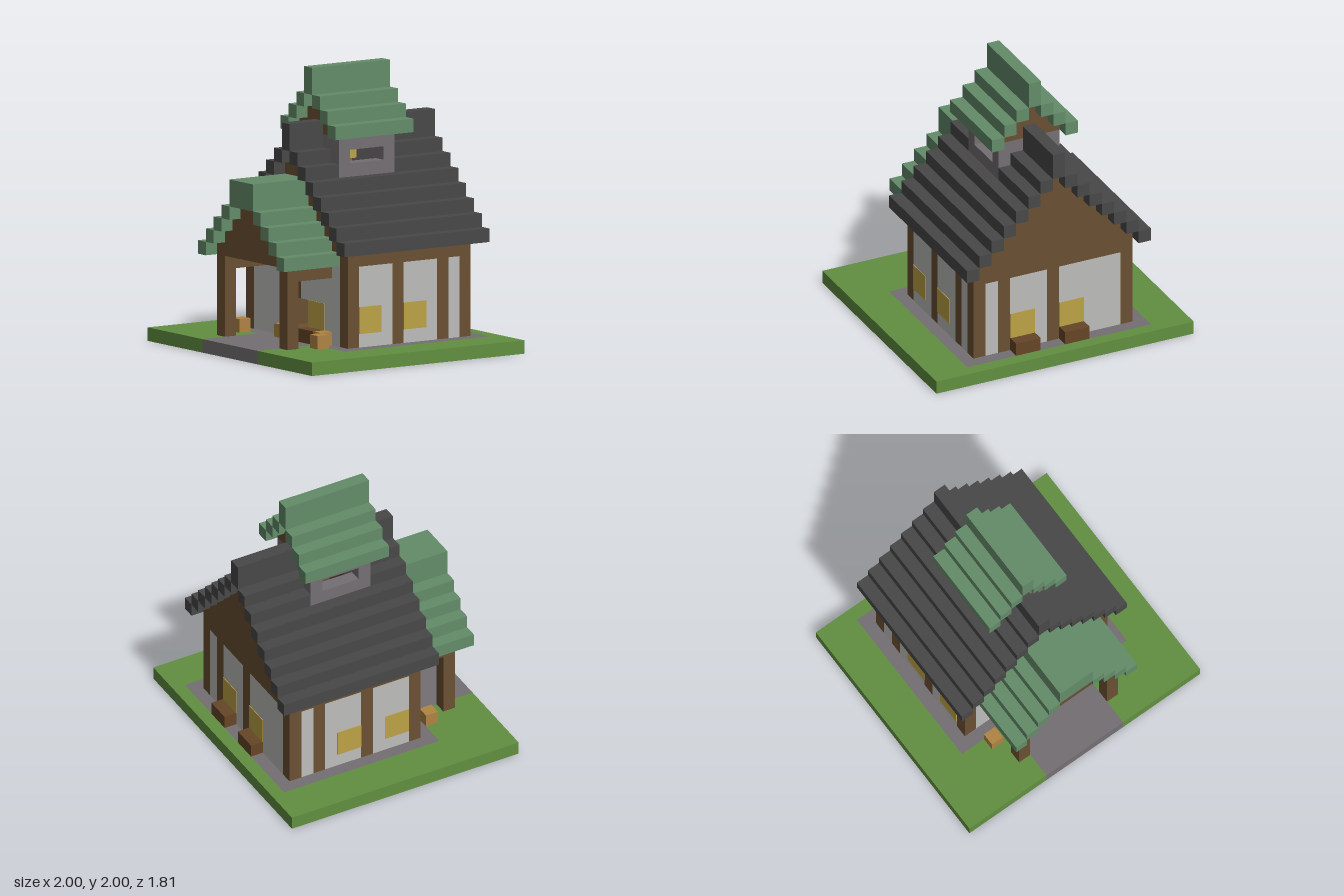
import * as THREE from 'three';

// One block of the grid; all sizes below are counted in blocks
const U = 2 / 21;

export function createModel() {
  const group = new THREE.Group();
  const mat = (name, color) => {
    const m = new THREE.MeshStandardMaterial({ color });
    m.name = name;
    return m;
  };
  const grass = mat('grass', 0x618f40);
  const stone = mat('stone', 0x746f73);
  const timber = mat('timber', 0x6b5033);
  const slate = mat('slate', 0x484848);
  const copper = mat('copper green', 0x648c69);
  const glass = mat('glass', 0xbdbdbb);
  const gold = mat('gold', 0xbda245);
  const crateWood = mat('crate wood', 0xb08443);
  const planterWood = mat('planter wood', 0x664627);

  const add = (name, geometry, material) => {
    const mesh = new THREE.Mesh(geometry.scale(U, U, U), material);
    mesh.name = name;
    group.add(mesh);
  };
  const box = (name, material, [x0, x1], [y0, y1], [z0, z1]) =>
    add(name, new THREE.BoxGeometry(x1 - x0, y1 - y0, z1 - z0)
      .translate((x0 + x1) / 2, (y0 + y1) / 2, (z0 + z1) / 2), material);
  // The same box on both sides of x = 0
  const pair = (name, material, [x0, x1], y, z) => {
    box(name, material, [x0, x1], y, z);
    box(name, material, [-x1, -x0], y, z);
  };
  // Ground slab one block thick, from an outline of [x, z] corners
  const slab = (name, material, outline, hole) => {
    const toPoints = (list) => list.map(([x, z]) => new THREE.Vector2(x, z));
    const shape = new THREE.Shape(toPoints(outline));
    if (hole) shape.holes.push(new THREE.Path(toPoints(hole)));
    add(name, new THREE.ExtrudeGeometry(shape, { depth: 1, bevelEnabled: false })
      .rotateX(Math.PI / 2).translate(0, 1, 0), material);
  };
  // Stepped roof: one row of blocks per step, ending beside the ridge
  const steppedRoof = (name, material, outer, y, steps, zRanges) => {
    for (let i = 0; i < steps; i++) {
      for (const z of zRanges(y + i)) {
        pair(name, material, [outer - 1 - i, outer - i], [y + i, y + i + 1], z);
      }
    }
  };
  // Stepped gable wall, each row one block narrower on each side
  const gable = (name, half, y, rows, z) => {
    for (let i = 0; i < rows; i++) {
      box(name, timber, [i - half, half - i], [y + i, y + i + 1], z);
    }
  };

  // Ground, paving and wooden floor
  const right = [[10.5, -9.5], [10.5, 9.5], [3.5, 9.5], [3.5, 4.5], [7.5, 4.5], [7.5, -8.5]];
  slab('lawn', grass, [...right, ...right.map(([x, z]) => [-x, z]).reverse()]);
  const floor = [[5.5, 3.5], [5.5, -5.5], [2.5, -5.5], [2.5, 0.5],
    [-3.5, 0.5], [-3.5, -2.5], [-5.5, -2.5], [-5.5, 3.5]];
  slab('paving', stone, [[7.5, -8.5], [7.5, 4.5], [3.5, 4.5], [3.5, 9.5],
    [-3.5, 9.5], [-3.5, 4.5], [-7.5, 4.5], [-7.5, -8.5]], floor);
  slab('woodenFloor', timber, floor);

  // Side walls: posts, panes and top beam
  const front = [2.5, 3.5], back = [-7.5, -6.5], wallY = [1, 7];
  for (const z of [front, [-1.5, -0.5], [-5.5, -4.5], back]) {
    pair('wallPost', timber, [5.5, 6.5], wallY, z);
  }
  for (const z of [[-0.5, 2.5], [-4.5, -1.5], [-6.5, -5.5]]) {
    pair('sideWindow', glass, [5.5, 6.5], wallY, z);
  }
  pair('sideBeam', timber, [5.5, 6.5], [7, 9], [-6.5, 2.5]);

  // Front wall with the door opening
  pair('frontWindow', glass, [1.5, 5.5], wallY, front);
  pair('windowAboveDoor', glass, [0.5, 1.5], [4, 7], front);
  box('postAboveDoor', timber, [-0.5, 0.5], [4, 7], front);

  // Back wall
  box('backWindow', glass, [4.5, 5.5], wallY, back);
  box('backPost', timber, [3.5, 4.5], wallY, back);
  box('backWindow', glass, [0.5, 3.5], wallY, back);
  box('backPost', timber, [-0.5, 0.5], wallY, back);
  box('backWindow', glass, [-5.5, -0.5], wallY, back);

  // Gold panels, standing slightly proud of the panes
  const e = 0.05, grow = ([a, b]) => [a - e, b + e];
  for (const z of [[0.5, 2.5], [-3.5, -1.5]]) {
    pair('goldPanel', gold, grow([5.5, 6.5]), [2, 4], z);
  }
  box('goldPanel', gold, [1.5, 3.5], [2, 4], grow(front));
  box('goldPanel', gold, [1.5, 3.5], [2, 4], grow(back));
  box('goldPanel', gold, [-2.5, -0.5], [2, 4], grow(back));

  // Main gables and slate roof, left open where the tower stands
  gable('frontGable', 6.5, 8, 7, front);
  gable('backGable', 6.5, 8, 7, back);
  box('gableBeam', timber, [-6.5, 6.5], [7, 8], front);
  box('gableBeam', timber, [-6.5, 6.5], [7, 8], back);
  const aroundTower = [[1.5, 4.5], [-8.5, -3.5]];
  steppedRoof('mainRoof', slate, 7.5, 8, 7, (y) => (y >= 13 ? aroundTower : [[-8.5, 4.5]]));
  for (const z of aroundTower) box('mainRidge', slate, [-0.5, 0.5], [15, 17], z);

  // Porch
  pair('porchPost', timber, [3.5, 4.5], [1, 6], [6.5, 7.5]);
  pair('porchBeam', timber, [3.5, 4.5], [6, 7], [3.5, 7.5]);
  gable('porchGable', 4.5, 7, 4, [6.5, 7.5]);
  steppedRoof('porchRoof', copper, 5.5, 7, 4, () => [[3.5, 8.5]]);
  box('porchRidge', copper, [-1.5, 1.5], [11, 13], [3.5, 8.5]);

  // Bell tower with an opening in each side
  for (const z of [[0.5, 1.5], [-3.5, -2.5]]) {
    box('towerWall', stone, [-2.5, 2.5], [13, 16], z);
    gable('towerGable', 2.5, 16, 3, z);
  }
  for (const y of [[13, 14], [15, 16]]) {
    pair('towerSide', stone, [1.5, 2.5], y, [-2.5, 0.5]);
  }
  box('bell', gold, [-0.5, 0.5], [14, 15], [-1.5, -0.5]);
  box('bellHanger', timber, [-0.5, 0.5], [15, 19], [-1.5, -0.5]);
  steppedRoof('towerRoof', copper, 3.5, 16, 3, () => [[-4.5, 2.5]]);
  box('towerRidge', copper, [-0.5, 0.5], [19, 21], [-4.5, 2.5]);

  // Crates in the porch, planters under windows, benches indoors
  for (const [x, z] of [[4.5, 4.5], [3.5, 3.5], [-1.5, 3.5], [-5.5, 4.5]]) {
    box('crate', crateWood, [x, x + 1], [1, 2], [z, z + 1]);
  }
  box('planter', planterWood, [1.5, 3.5], [1, 2], [3.5, 4.5]);
  box('planter', planterWood, [1.5, 3.5], [1, 2], [-8.5, -7.5]);
  box('planter', planterWood, [-2.5, -0.5], [1, 2], [-8.5, -7.5]);
  box('bench', planterWood, [0.5, 3.5], [1, 2], [-3.5, -2.5]);
  box('stool', planterWood, [-2.5, -1.5], [1, 2], [-0.5, 0.5]);

  return group;
}
